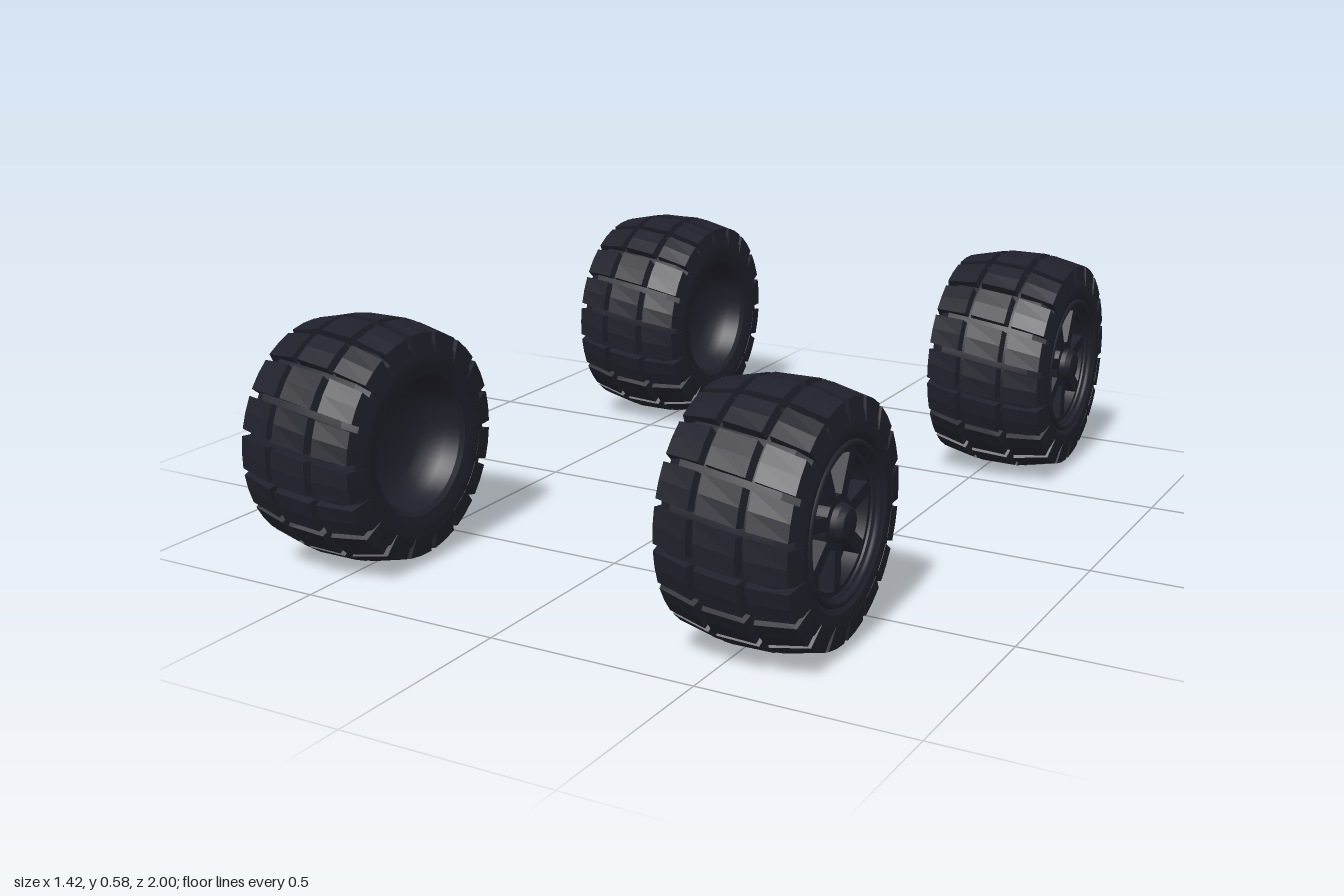
import * as THREE from 'three';
import { mergeGeometries, toCreasedNormals } from 'three/addons/utils/BufferGeometryUtils.js';

const rubber = new THREE.MeshStandardMaterial({ color: 0x20202b });
rubber.name = 'darkRubber';

const LUGS = 18;              // tread blocks around each row
const PITCH = (Math.PI * 2) / LUGS;
const SKEW = 0.5;             // slant of the tread, radians per unit of width

// Revolves [radius, x] points around the x axis
function revolve(points, segments = 54, crease = 0.5) {
  const g = new THREE.LatheGeometry(points.map(([r, x]) => new THREE.Vector2(r, x)), segments);
  g.rotateZ(-Math.PI / 2);
  return toCreasedNormals(g, crease);
}

// One row of tread blocks: an [x, radius] section swept through an angle and slanted
function treadRow(section) {
  const shape = new THREE.Shape(section.map(([x, r]) => new THREE.Vector2(x, r)));
  const blocks = [];
  for (let i = 0; i < LUGS; i++) {
    const g = new THREE.ExtrudeGeometry(shape, { depth: PITCH * 0.82, steps: 2, bevelEnabled: false });
    const p = g.attributes.position;
    for (let k = 0; k < p.count; k++) {
      const x = p.getX(k), r = p.getY(k);
      const a = p.getZ(k) + i * PITCH + SKEW * x;
      p.setXYZ(k, x, r * Math.cos(a), r * Math.sin(a));
    }
    g.computeVertexNormals();
    blocks.push(g);
  }
  return mergeGeometries(blocks);
}

// Disc with wedge windows, leaving the spokes between them
function spokePlate(count) {
  const disc = new THREE.Shape().absarc(0, 0, 0.16, 0, Math.PI * 2, false);
  for (let i = 0; i < count; i++) {
    const a = Math.PI / 2 + (i / count) * Math.PI * 2;
    const half = Math.PI / count;
    const hole = new THREE.Path();
    hole.absarc(0, 0, 0.147, a - half + 0.11, a + half - 0.11, false);
    hole.absarc(0, 0, 0.06, a + half - 0.25, a - half + 0.25, true);
    hole.closePath();
    disc.holes.push(hole);
  }
  const g = new THREE.ExtrudeGeometry(disc, { depth: 0.035, bevelEnabled: false, curveSegments: 16 });
  g.rotateY(Math.PI / 2);
  g.translate(0.1, 0, 0);
  return g;
}

// Tyre carcass with smooth sidewalls and a dished outer face
const carcass = revolve([
  [0.158, -0.145], [0.168, -0.154], [0.19, -0.158],
  [0.215, -0.16], [0.24, -0.152], [0.262, -0.12], [0.267, -0.06], [0.268, 0], [0.267, 0.06],
  [0.262, 0.12], [0.24, 0.152], [0.215, 0.16], [0.19, 0.158], [0.175, 0.148], [0.16, 0.14],
  [0.157, 0.1], [0, 0.1],
]);

// Smooth bowl closing the inner side
const bowl = revolve([
  [0, -0.045], [0.06, -0.047], [0.105, -0.056], [0.135, -0.075], [0.15, -0.105], [0.158, -0.145],
], 54, 1);

// Tread sections; shoulder blocks wrap down onto the sidewall
const centre = treadRow([[-0.055, 0.255], [0.055, 0.255], [0.047, 0.29], [-0.047, 0.29]]);
const outer = treadRow([[0.058, 0.25], [0.13, 0.21], [0.161, 0.215], [0.152, 0.268], [0.066, 0.287]]);
const inner = treadRow([[-0.058, 0.25], [-0.066, 0.287], [-0.152, 0.268], [-0.161, 0.215], [-0.13, 0.21]]);

const spokes = spokePlate(7);
const rimLip = new THREE.TorusGeometry(0.17, 0.008, 8, 54).rotateY(Math.PI / 2).translate(0.15, 0, 0);
const hub = revolve([[0.046, 0.1], [0.043, 0.148], [0.034, 0.161], [0.016, 0.165], [0, 0.165]], 14);

function makeWheel(name) {
  const wheel = new THREE.Group();
  wheel.name = name;
  const parts = {
    tyreBody: carcass, innerBowl: bowl, centreTread: centre, outerTread: outer, innerTread: inner,
    spokes, rimLip, hub,
  };
  for (const [part, geometry] of Object.entries(parts)) {
    const mesh = new THREE.Mesh(geometry, rubber);
    mesh.name = part;
    wheel.add(mesh);
  }
  return wheel;
}

export function createModel() {
  const model = new THREE.Group();
  model.name = 'wheelSet';
  for (const sx of [1, -1]) {
    for (const sz of [1, -1]) {
      const wheel = makeWheel((sz > 0 ? 'front' : 'rear') + (sx > 0 ? 'Left' : 'Right') + 'Wheel');
      wheel.position.set(sx * 0.545, 0.29, sz * 0.71);
      if (sx < 0) wheel.rotation.y = Math.PI; // spokes face outward
      model.add(wheel);
    }
  }
  return model;
}
